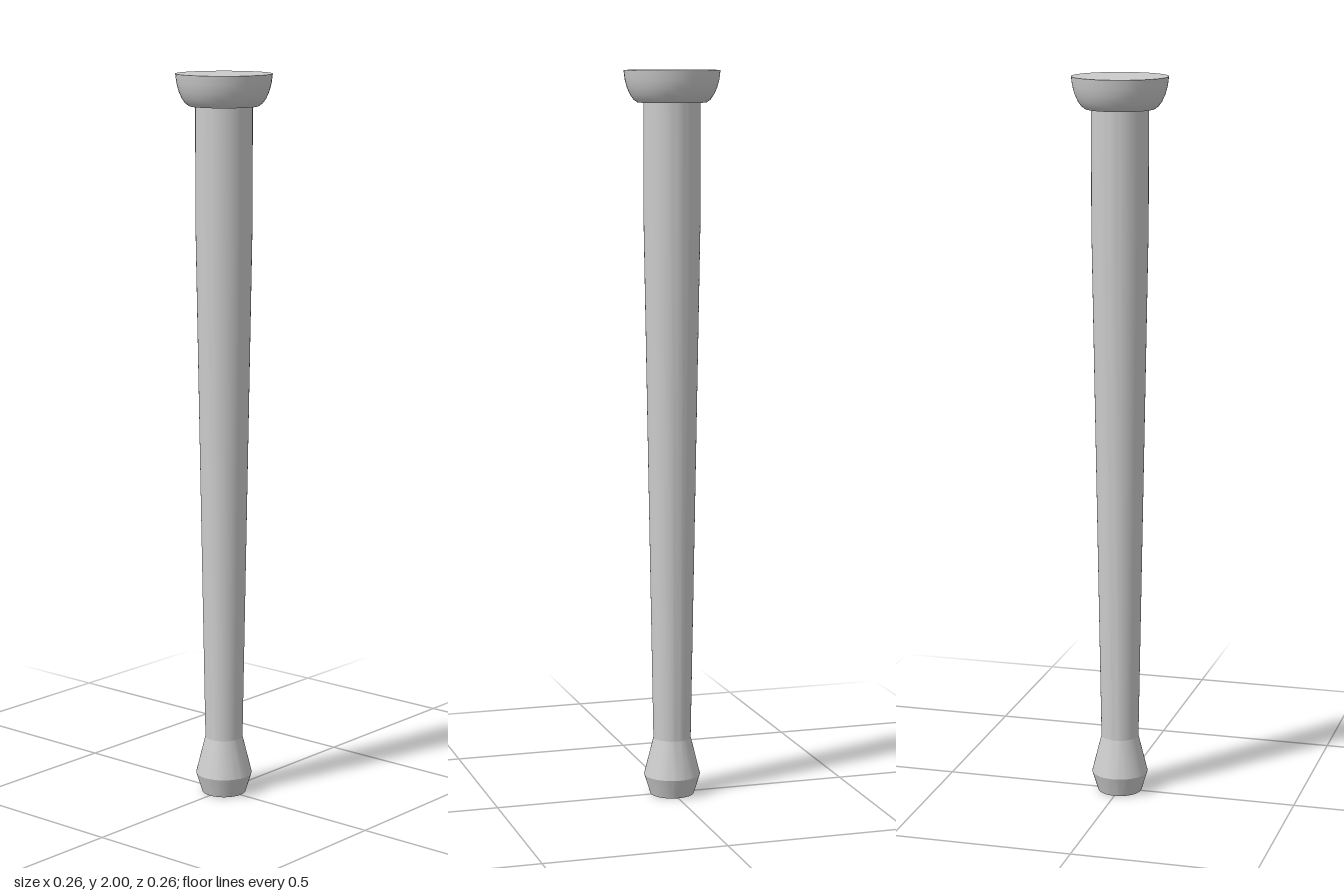
import * as THREE from 'three';
import { toCreasedNormals } from 'three/addons/utils/BufferGeometryUtils.js';

const material = new THREE.MeshStandardMaterial({ color: 0xcccccc });

// Turned part from [radius, height] points, listed bottom to top on the outside
function turned(name, points) {
  const profile = points.map(([r, y]) => new THREE.Vector2(r, y));
  const geometry = toCreasedNormals(new THREE.LatheGeometry(profile, 48), 0.4);
  const mesh = new THREE.Mesh(geometry, material);
  mesh.name = name;
  return mesh;
}

export function createModel() {
  const group = new THREE.Group();
  group.name = 'turnedLeg';

  // Domed cap with a flat top and flat underside
  group.add(turned('cap', [
    [0.07, 1.914], [0.093, 1.914], [0.104, 1.922], [0.113, 1.935],
    [0.121, 1.953], [0.127, 1.975], [0.13, 2], [0, 2],
  ]));

  // Shaft: straight at the top, then tapering to the foot
  group.add(turned('shaft', [[0.052, 0.16], [0.077, 1.6], [0.077, 1.914]]));

  // Flared foot with a flat rim around the open bore
  group.add(turned('foot', [
    [0.043, 0], [0.061, 0], [0.078, 0.055], [0.052, 0.16],
  ]));

  // Inner wall of the hollow shaft, closed at the top
  group.add(turned('bore', [[0, 1.914], [0.067, 1.914], [0.067, 1.6], [0.043, 0.16], [0.043, 0]]));

  return group;
}
